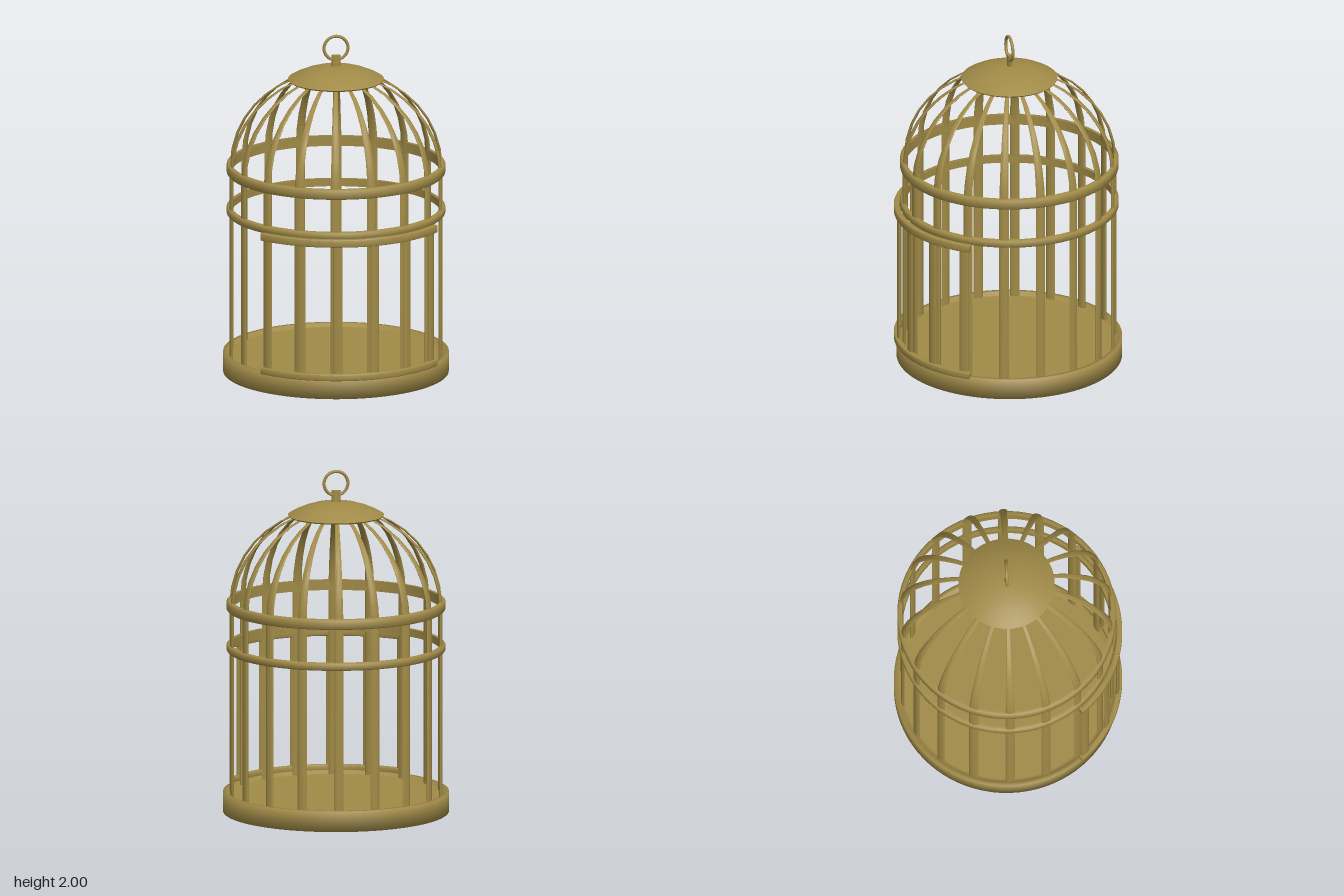
import * as THREE from 'three';
import { toCreasedNormals } from 'three/addons/utils/BufferGeometryUtils.js';

const brass = new THREE.MeshStandardMaterial({ color: 0xa08a47 });
const CREASE = 0.9;
const BAR_R = 0.611;     // radius of the bar circle
const BAR_W = 0.056;     // width of the oval bars
const OVAL = 0.34;       // bar thickness as a share of its width
const SPRING_Y = 1.2;    // height where the dome starts
const DOME_H = 0.575;    // height of the dome curve above that
const DEG = Math.PI / 180;

function add(parent, name, geometry) {
  const mesh = new THREE.Mesh(geometry, brass);
  mesh.name = name;
  parent.add(mesh);
  return mesh;
}

// Solid of revolution; the profile runs anticlockwise in (radius, height)
function turned(profile, crease = CREASE) {
  const points = profile.map(([r, y]) => new THREE.Vector2(r, y));
  return toCreasedNormals(new THREE.LatheGeometry(points, 80), crease);
}

// Full ring with softened outer edges
function hoop(rIn, rOut, y0, y1) {
  const b = 0.008;
  return turned([
    [rIn, y0], [rOut - b, y0], [rOut, y0 + b], [rOut, y1 - b],
    [rOut - b, y1], [rIn, y1], [rIn, y0],
  ]);
}

// Curved rail around the front, reaching the angle half to either side of +z
function arcRail(rIn, rOut, y0, y1, half) {
  const b = 0.005;
  const start = -half - Math.PI / 2, end = half - Math.PI / 2;
  const shape = new THREE.Shape();
  shape.absarc(0, 0, rOut - b, start, end, false);
  shape.absarc(0, 0, rIn + b, end, start, true);
  const geometry = new THREE.ExtrudeGeometry(shape, {
    depth: y1 - y0 - 2 * b, curveSegments: 32,
    bevelThickness: b, bevelSize: b, bevelSegments: 2,
  });
  // lay flat: the shape's -y side becomes +z
  geometry.rotateX(-Math.PI / 2).translate(0, y0 + b, 0);
  return toCreasedNormals(geometry, CREASE);
}

// Oval bar that rises straight, then bends over the dome and narrows
function bentBar() {
  const steps = 7;
  const path = [{ r: BAR_R, y: 0.06, tilt: 0, w: BAR_W }];
  for (let i = 0; i <= steps; i++) {
    const t = i / steps, a = t * 68 * DEG;
    path.push({
      r: BAR_R * Math.cos(a), y: SPRING_Y + DOME_H * Math.sin(a),
      tilt: a, w: BAR_W * (1 - 0.6 * t),
    });
  }
  const n = path.length - 1;
  const geometry = new THREE.CylinderGeometry(0.5, 0.5, n, 12, n);
  const pos = geometry.attributes.position;
  for (let i = 0; i < pos.count; i++) {
    const p = path[Math.round(pos.getY(i) + n / 2)];
    const d = pos.getZ(i) * p.w * OVAL;
    pos.setXYZ(i, pos.getX(i) * p.w,
      p.y + d * Math.sin(p.tilt), p.r + d * Math.cos(p.tilt));
  }
  return toCreasedNormals(geometry, 1.2);
}

export function createModel() {
  const model = new THREE.Group();
  model.name = 'birdcage';
  const cage = new THREE.Group();
  cage.name = 'cage';
  cage.position.z = -0.008;
  model.add(cage);

  // Base tray with a raised rim and a deep recess below, softly shaded
  add(cage, 'baseTray', turned([
    [0, 0.068], [0.6, 0.068], [0.617, 0.068], [0.62, 0], [0.65, 0],
    [0.65, 0.12], [0.625, 0.12], [0.62, 0.1], [0.6, 0.1], [0, 0.1],
  ], 1.7));

  // Bars
  const bars = new THREE.Group();
  bars.name = 'bars';
  cage.add(bars);
  const barGeometry = bentBar();
  for (let i = 0; i < 18; i++) {
    add(bars, 'bar', barGeometry).rotation.y = (i * 20 + 10) * DEG;
  }

  // Hoops around the bars
  add(cage, 'upperHoop', hoop(0.602, 0.63, 1.18, 1.24));
  add(cage, 'lowerHoop', hoop(0.602, 0.63, 0.94, 0.985));

  // Sliding door, set just outside the bars
  const door = new THREE.Group();
  door.name = 'door';
  door.rotation.y = 0.9 * DEG;
  model.add(door);
  const half = 51.7 * DEG;
  add(door, 'doorTopRail', arcRail(0.625, 0.658, 0.905, 0.95, half));
  add(door, 'doorBottomRail', arcRail(0.625, 0.658, 0.11, 0.15, half));
  const doorBar = new THREE.CylinderGeometry(0.5, 0.5, 0.8, 12);
  doorBar.scale(BAR_W, 1, BAR_W * OVAL).translate(0, 0.53, 0.636);
  for (let i = 0; i < 6; i++) {
    add(door, 'doorBar', doorBar).rotation.y = (i - 2.5) * 19.4 * DEG;
  }

  // Cap on the dome
  add(cage, 'cap', turned([
    [0, 1.79], [0.14, 1.772], [0.27, 1.73], [0.277, 1.738], [0.24, 1.759],
    [0.19, 1.781], [0.13, 1.8], [0.065, 1.811], [0, 1.815],
  ]));

  // Hanging post and ring
  const post = new THREE.CylinderGeometry(0.025, 0.025, 0.09, 24);
  post.scale(1, 1, 0.5);
  add(cage, 'hangerPost', post).position.y = 1.835;
  add(cage, 'hangerRing', new THREE.TorusGeometry(0.07, 0.009, 10, 48))
    .position.y = 1.921;

  return model;
}
